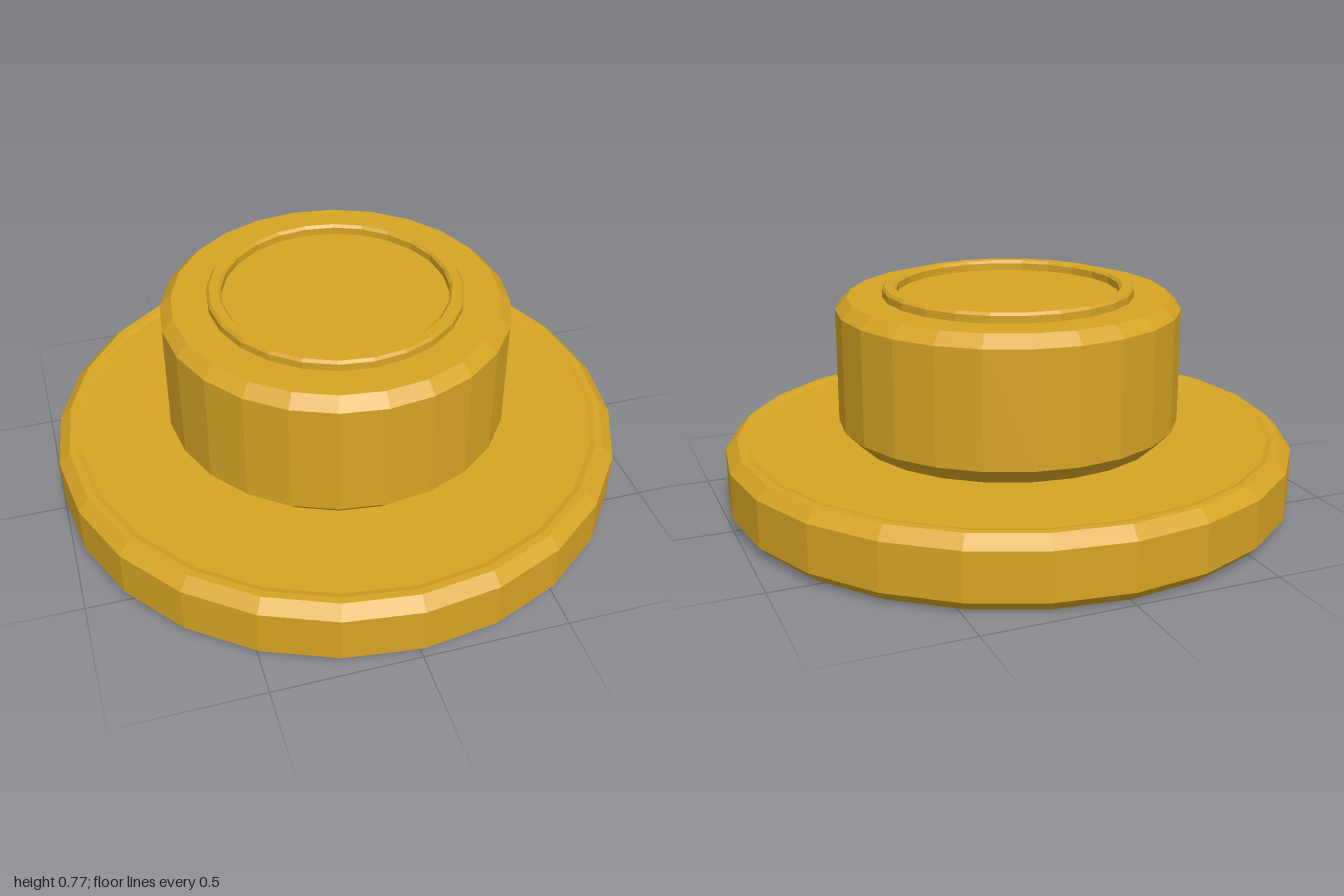
import * as THREE from 'three';

const SIDES = 24;

export function createModel() {
  const model = new THREE.Group();
  model.name = 'steppedKnob';
  const gold = new THREE.MeshStandardMaterial({ color: 0xd6a424, flatShading: true });
  gold.name = 'gold';

  // Faceted turned part from [radius, height] points, listed bottom to top on the outside
  const turned = (name, profile) => {
    const points = profile.map(([r, y]) => new THREE.Vector2(r, y));
    const mesh = new THREE.Mesh(new THREE.LatheGeometry(points, SIDES), gold);
    mesh.name = name;
    model.add(mesh);
  };

  // Wide base with bevelled rims and a shallow dished top
  turned('base', [
    [0, 0], [0.96, 0], [1, 0.04], [1, 0.205], [0.96, 0.245],
    [0.935, 0.245], [0.915, 0.239], [0, 0.239],
  ]);

  // Bevelled drum standing on the base
  turned('drum', [
    [0, 0.238], [0.545, 0.238], [0.56, 0.255], [0.6, 0.295],
    [0.6, 0.695], [0.56, 0.735], [0, 0.735],
  ]);

  // Thin raised ring on top of the drum
  turned('topRing', [
    [0.438, 0.73], [0.438, 0.76], [0.43, 0.77],
    [0.397, 0.77], [0.388, 0.76], [0.388, 0.73],
  ]);

  return model;
}
